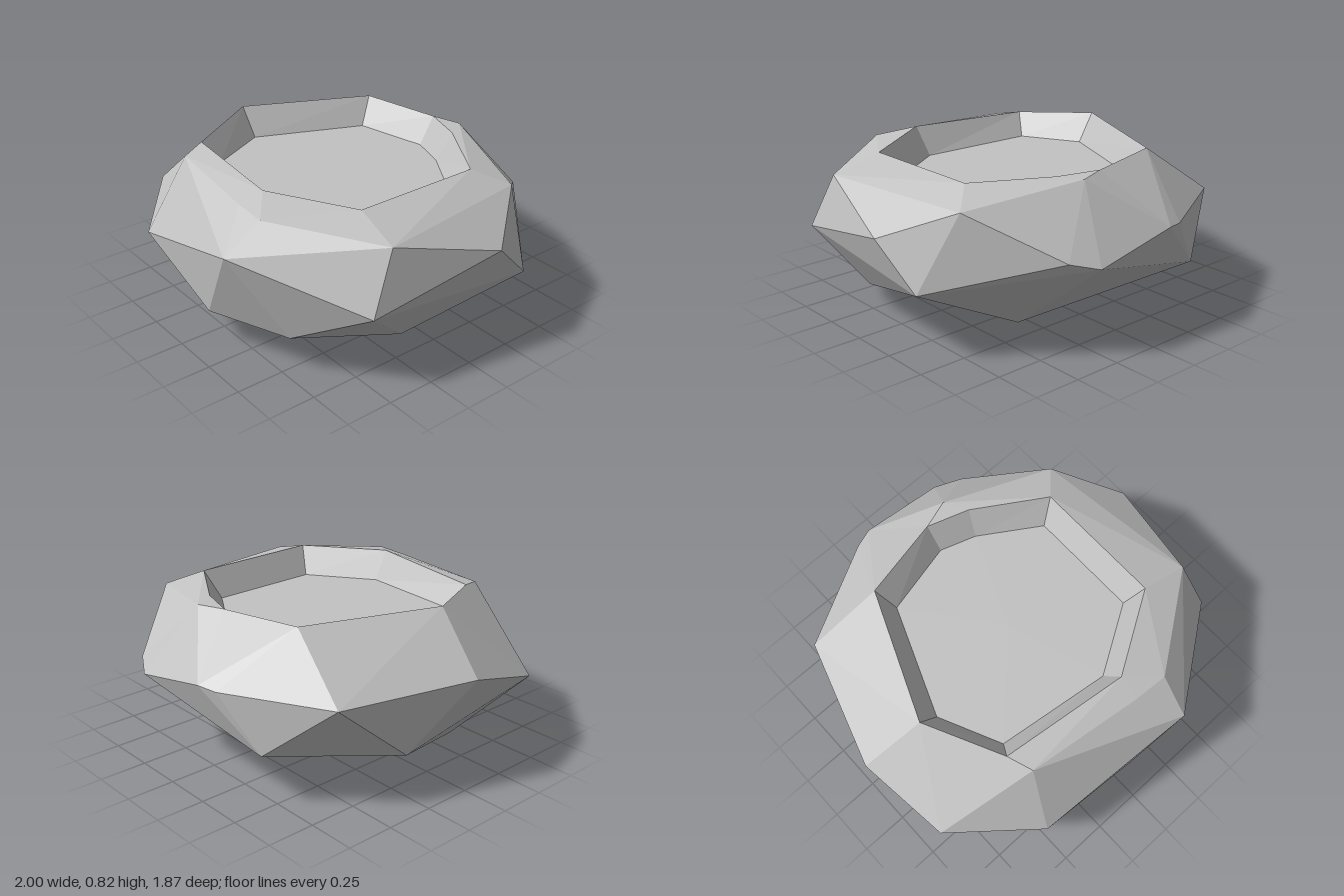
import * as THREE from 'three';
import { ConvexGeometry } from 'three/addons/geometries/ConvexGeometry.js';

const vec = ([x, y, z]) => new THREE.Vector3(x, y, z);

// Faceted corners of the stone
const CORNERS = [
  // upper shoulder
  [0.86, 0.71, 0.385], [0.355, 0.755, 0.745], [0.17, 0.757, 0.733], [-0.44, 0.765, 0.655],
  [0.17, 0.795, -0.685], [0.75, 0.71, -0.487],
  // widest belt
  [-1, 0.565, 0.05], [-0.935, 0.425, 0.525], [-0.52, 0.36, 0.86], [0.33, 0.61, 0.935],
  [0.915, 0.415, 0.535], [1, 0.56, -0.17], [0.945, 0.335, -0.405], [0.43, 0.49, -0.86],
  [0.3, 0.455, -0.935], [-0.16, 0.55, -0.935], [-0.26, 0.54, -0.905], [-0.785, 0.54, -0.625],
  // underside
  [-0.47, 0.26, -0.815], [-0.895, 0.255, -0.3], [-0.655, 0.09, 0.27], [0.08, 0.185, 0.88],
  [0.53, 0.195, 0.72], [0.77, 0.145, 0.24], [0.41, 0.075, -0.49], [-0.3, 0.05, -0.3], [0.09, 0, 0.235],
].map(vec);

// Rim of the hollow and the matching corners of its slightly tilted floor
const RIM = [
  [-0.41, 0.81, -0.54], [0.02, 0.8, -0.635], [0.24, 0.795, -0.565], [0.605, 0.785, -0.34],
  [0.605, 0.785, 0.355], [0.185, 0.8, 0.61], [-0.49, 0.79, 0.525], [-0.69, 0.825, 0.13],
].map(vec);
const floorPoint = ([x, z]) => new THREE.Vector3(x, 0.655 - 0.03 * x, z);
const FLOOR = [
  [-0.36, -0.45], [0.02, -0.545], [0.21, -0.485], [0.52, -0.29],
  [0.52, 0.305], [0.165, 0.52], [-0.44, 0.445], [-0.59, 0.125],
].map(floorPoint);

function fromTriangles(points) {
  const geometry = new THREE.BufferGeometry().setFromPoints(points);
  geometry.computeVertexNormals();
  return geometry;
}

// Wrap a hull with the rim slightly raised, open it inside the rim, then lower the rim again
function shellGeometry() {
  const raised = RIM.map((p) => p.clone().setY(p.y + 0.02));
  const position = new ConvexGeometry([...CORNERS, ...raised]).getAttribute('position');
  const points = [];
  for (let i = 0; i < position.count; i += 3) {
    const triangle = [0, 1, 2].map((k) => new THREE.Vector3().fromBufferAttribute(position, i + k));
    const rimIndex = triangle.map((p) => raised.findIndex((r) => r.distanceTo(p) < 1e-4));
    if (rimIndex.every((k) => k >= 0)) continue;
    triangle.forEach((p, k) => points.push(rimIndex[k] >= 0 ? RIM[rimIndex[k]] : p));
  }
  return fromTriangles(points);
}

// Sloping walls between rim and floor
function wallGeometry() {
  const points = [];
  RIM.forEach((rim, i) => {
    const j = (i + 1) % RIM.length;
    points.push(FLOOR[i], FLOOR[j], RIM[j], FLOOR[i], RIM[j], rim);
  });
  return fromTriangles(points);
}

// Flat floor as a fan
function floorGeometry() {
  const centre = floorPoint([0, 0]);
  return fromTriangles(FLOOR.flatMap((p, i) => [centre, FLOOR[(i + 1) % FLOOR.length], p]));
}

export function createModel() {
  const stone = new THREE.MeshStandardMaterial({ color: 0xc2c2c2 });
  stone.name = 'grey stone';
  stone.flatShading = true;

  const model = new THREE.Group();
  model.name = 'hollowedStone';
  const parts = { stoneShell: shellGeometry(), hollowWall: wallGeometry(), hollowFloor: floorGeometry() };
  for (const [name, geometry] of Object.entries(parts)) {
    const mesh = new THREE.Mesh(geometry, stone);
    mesh.name = name;
    model.add(mesh);
  }
  return model;
}
